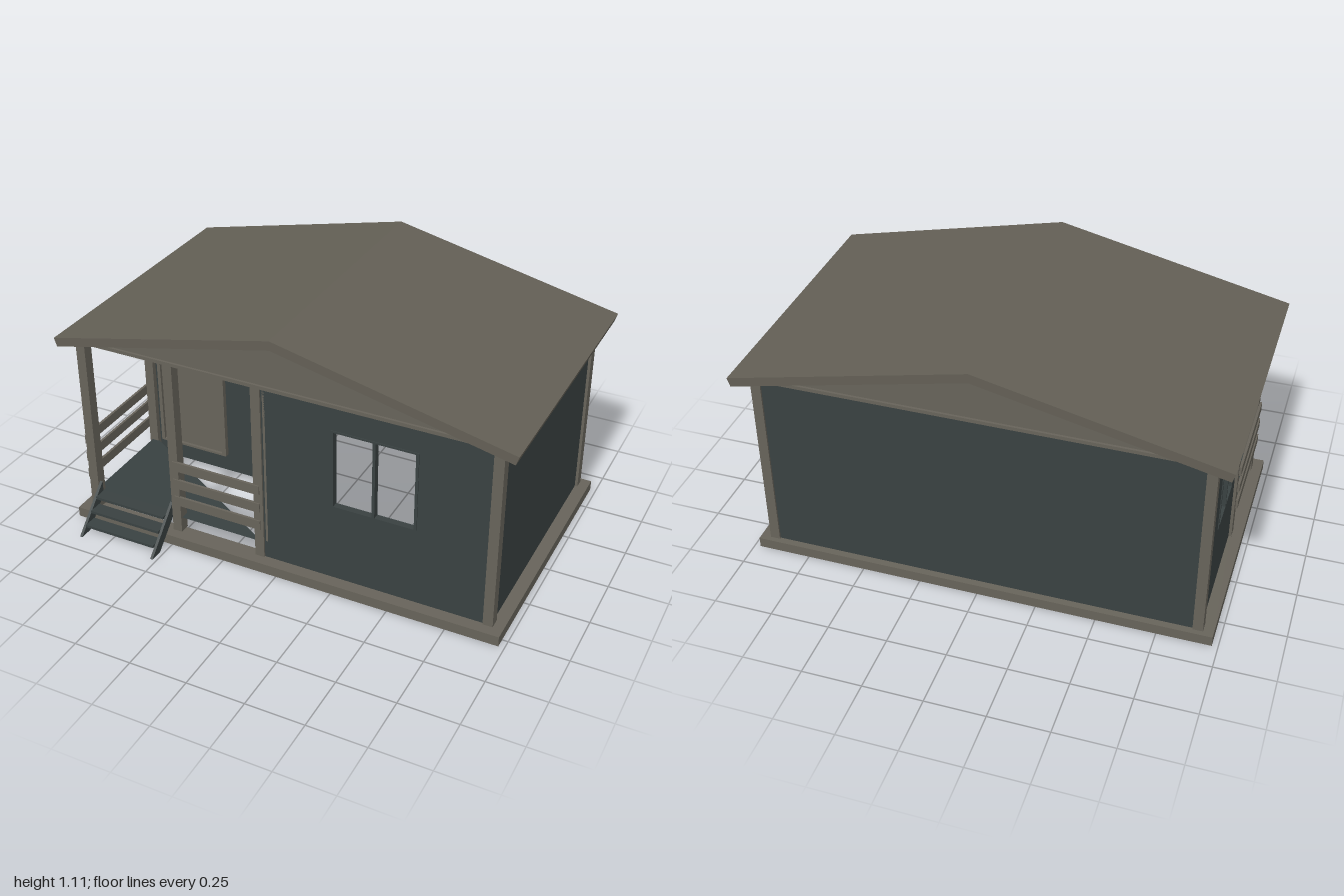
import * as THREE from 'three';

export function createModel() {
  const model = new THREE.Group();
  model.name = 'cabin';
  const mat = (name, color, side = THREE.FrontSide) => {
    const m = new THREE.MeshStandardMaterial({ color, side });
    m.name = name;
    return m;
  };
  const timber = mat('timber', 0x67635a);
  const roofing = mat('roofing', 0x635f55);
  const siding = mat('siding', 0x394141);
  const decking = mat('decking', 0x384040, THREE.DoubleSide);

  const add = (name, geometry, material, parent = model) => {
    const m = new THREE.Mesh(geometry, material);
    m.name = name;
    parent.add(m);
    return m;
  };
  // Box given by its minimum and maximum corners
  const box = (name, a, b, material, parent = model) => {
    const m = add(name, new THREE.BoxGeometry(b[0] - a[0], b[1] - a[1], b[2] - a[2]), material, parent);
    m.position.set((a[0] + b[0]) / 2, (a[1] + b[1]) / 2, (a[2] + b[2]) / 2);
    return m;
  };
  const polygon = pts => new THREE.Shape(pts.map(p => new THREE.Vector2(...p)));
  const rect = (x0, y0, x1, y1) => [[x0, y0], [x1, y0], [x1, y1], [x0, y1]];
  // Extrusion of a shape between two depths
  const slab = (shape, z0, z1) =>
    new THREE.ExtrudeGeometry(shape, { depth: z1 - z0, bevelEnabled: false }).translate(0, 0, z0);

  // Base frame, open in the middle
  const BASE = 0.045, TOP = 0.855, FLOOR = 0.125;
  const rim = polygon(rect(-0.975, -0.64, 0.975, 0.543));
  rim.holes.push(polygon(rect(-0.89, -0.58, 0.89, 0.46)));
  add('baseFrame', slab(rim, -BASE, 0).rotateX(Math.PI / 2), timber);

  // L-shaped floor, seen from beneath
  add('floor', new THREE.ShapeGeometry(polygon([
    [-0.91, -0.6], [0.91, -0.6], [0.91, 0.48], [-0.08, 0.48], [-0.08, -0.01], [-0.91, -0.01],
  ])).rotateX(Math.PI / 2), timber).position.y = FLOOR;

  // Wall: siding outside, timber lining inside, with an optional window hole
  const wall = (name, width, x, z, angle, window) => {
    const g = new THREE.Group();
    g.name = name;
    g.position.set(x, 0, z);
    g.rotation.y = angle;
    const layer = (part, y0, z0, z1, material) => {
      const s = polygon(rect(0, y0, width, TOP));
      if (window) s.holes.push(polygon(rect(window[0], 0.39, window[1], 0.75)));
      add(part, slab(s, z0, z1), material, g);
    };
    layer('siding', BASE, -0.02, 0, siding);
    layer('lining', FLOOR, -0.03, -0.02, timber);
    if (window) {
      const [a, b] = window, mid = (a + b) / 2;
      for (const u of [a + 0.004, mid, b - 0.004])
        box('windowBar', [u - 0.006, 0.39, -0.025], [u + 0.006, 0.75, 0.004], siding, g);
      for (const y of [0.39, 0.742])
        box('windowRail', [a, y, -0.025], [b, y + 0.008, 0.004], siding, g);
    }
    model.add(g);
    return g;
  };
  const Q = Math.PI / 2;
  wall('frontWall', 1.01, -0.09, 0.49, 0, [0.32, 0.685]);
  wall('leftWall', 1.1, 0.92, 0.49, Q);
  wall('backWall', 1.84, 0.92, -0.61, Math.PI);
  const side = wall('rightWall', 0.61, -0.92, -0.61, -Q, [0.21, 0.49]);
  box('shutter', [0.21, 0.39, -0.02], [0.49, 0.75, -0.012], siding, side);
  wall('porchBackWall', 0.83, -0.92, 0, 0);
  wall('porchSideWall', 0.49, -0.09, 0, -Q);

  // Posts at the corners and along the porch
  const post = (x, z) => box('post', [x - 0.021, BASE, z - 0.023], [x + 0.021, TOP, z + 0.023], timber);
  for (const x of [-0.911, 0.911]) for (const z of [-0.595, 0.475]) post(x, z);
  post(-0.496, 0.475);
  post(-0.097, 0.475);
  post(-0.911, 0.0);

  // Porch railings
  for (const y of [0.182, 0.268, 0.355]) {
    box('frontRail', [-0.5, y, 0.492], [-0.09, y + 0.044, 0.503], timber);
    box('sideRail', [-0.942, y, 0.0], [-0.931, y + 0.044, 0.49], timber);
  }

  // Door and its surround
  const surround = polygon(rect(-0.868, 0.13, -0.53, 0.765));
  surround.holes.push(polygon(rect(-0.852, 0.14, -0.55, 0.746)));
  add('doorFrame', slab(surround, 0, 0.022), timber);
  box('door', [-0.852, 0.13, 0], [-0.55, 0.746, 0.009], timber);

  // Triangular porch deck
  add('porchDeck', new THREE.ShapeGeometry(polygon([[-0.92, 0], [-0.09, 0.49], [-0.92, 0.49]]))
    .rotateX(Q), decking).position.y = FLOOR - 0.01;

  // Steps: two sloping stringers and three treads
  const stringer = polygon([[0.67, 0], [0.61, 0], [0.49, 0.115], [0.49, 0.18]]);
  for (const x of [-0.885, -0.53])
    add('stringer', slab(stringer, -x - 0.012, -x).rotateY(-Q), siding);
  for (let i = 0; i < 3; i++) {
    const z = 0.635 - i * 0.045, y = 0.03 + i * 0.045;
    box('tread', [-0.875, y, z - 0.06], [-0.535, y + 0.012, z], siding);
  }

  // Gable block with a flat ceiling, and the overhanging roof
  add('gable', slab(polygon([[-0.93, TOP], [0.93, TOP], [0, 1.075]]), -0.615, 0.49), timber);
  for (const z of [[0.49, 0.5], [-0.625, -0.615]])
    box('gableSill', [-0.87, TOP, z[0]], [0.87, TOP + 0.015, z[1]], timber);
  add('roof', slab(polygon([
    [-1, 0.883], [-0.988, 0.846], [0, 1.068], [0.988, 0.846], [1, 0.883], [0, 1.108],
  ]), -0.672, 0.547), roofing);

  return model;
}
